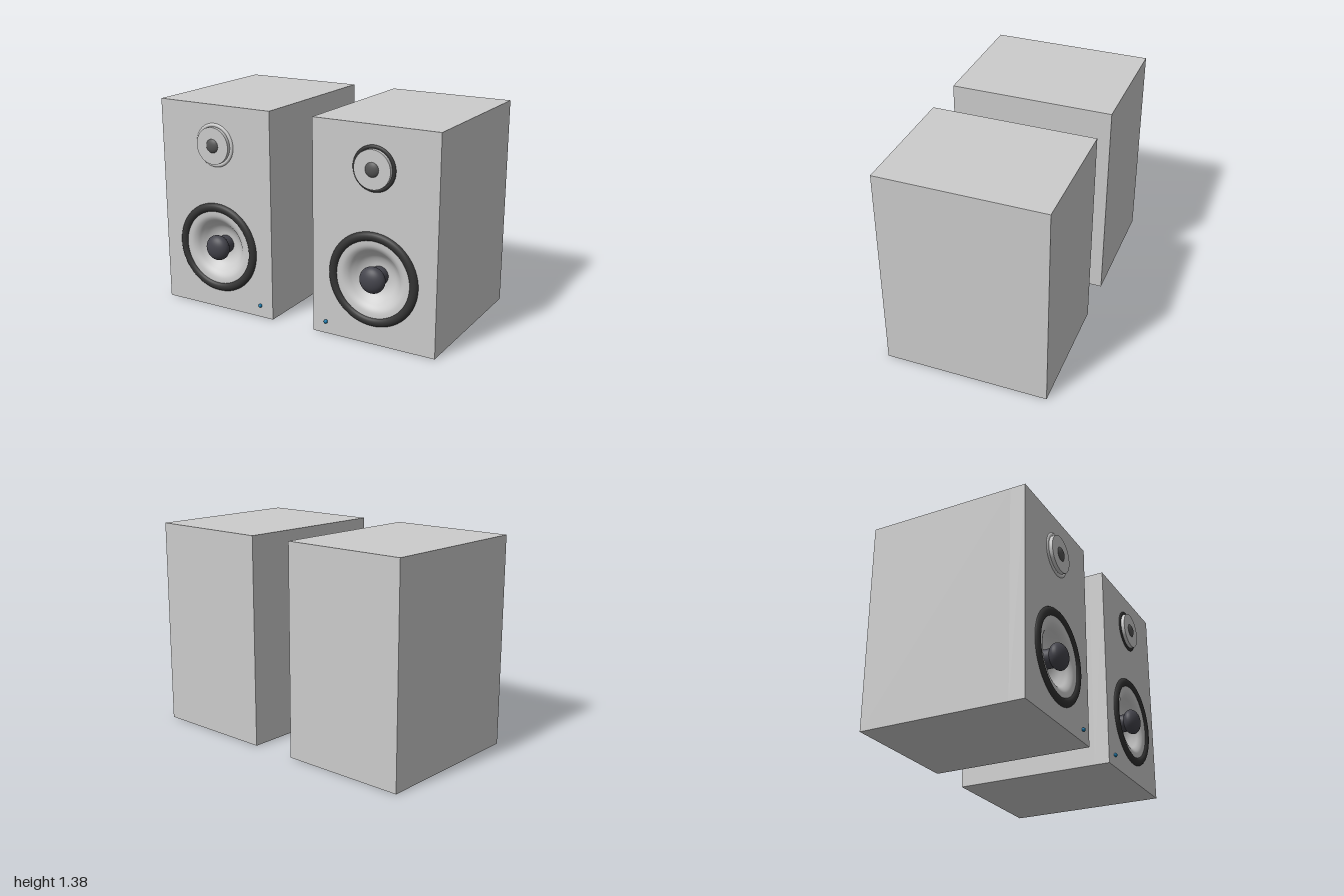
import * as THREE from 'three';

const WIDTH = 0.845, HEIGHT = 1.385, BACK = -0.57, FACE = 0.51, BAFFLE = 0.1;
const WOOFER_Y = 0.425, TWEETER_Y = 1.12;

const mat = (color, side = THREE.FrontSide) => new THREE.MeshStandardMaterial({ color, side });
const grey = mat(0xcccccc);
const coneGrey = mat(0xdddddd, THREE.DoubleSide);
const rubber = mat(0x333333);
const domeDark = mat(0x45454d);
const tweeterDark = mat(0x555555);
const blue = mat(0x1177aa);

function add(parent, name, geometry, material, x, y, z) {
  const mesh = new THREE.Mesh(geometry, material);
  mesh.name = name;
  mesh.position.set(x, y, z);
  parent.add(mesh);
  return mesh;
}

// Ellipsoid with its short axis along z
const dome = (r, depth) => new THREE.SphereGeometry(r, 32, 20).scale(1, 1, depth / r);

// Front panel with a round opening for the woofer
function baffleGeometry() {
  const w = WIDTH / 2;
  const shape = new THREE.Shape();
  shape.moveTo(-w, 0).lineTo(w, 0).lineTo(w, HEIGHT).lineTo(-w, HEIGHT).closePath();
  const hole = new THREE.Path();
  hole.absarc(0, WOOFER_Y, 0.255, 0, Math.PI * 2, true);
  shape.holes.push(hole);
  return new THREE.ExtrudeGeometry(shape, { depth: BAFFLE, bevelEnabled: false, curveSegments: 48 });
}

// Concave cone: gentle outer lip, then a steeper bowl
function coneGeometry() {
  const curve = new THREE.SplineCurve([
    [0.02, -0.092], [0.08, -0.088], [0.125, -0.07], [0.16, -0.04],
    [0.185, -0.014], [0.215, 0.002], [0.26, 0.006],
  ].map(([r, z]) => new THREE.Vector2(r, z)));
  return new THREE.LatheGeometry(curve.getPoints(24), 64).rotateX(Math.PI / 2);
}

function createSpeaker(side) {
  const speaker = new THREE.Group();
  speaker.name = side > 0 ? 'leftSpeaker' : 'rightSpeaker';

  // Cabinet
  const depth = FACE - BAFFLE - BACK;
  add(speaker, 'cabinet', new THREE.BoxGeometry(WIDTH, HEIGHT, depth), grey, 0, HEIGHT / 2, BACK + depth / 2);
  add(speaker, 'frontBaffle', baffleGeometry(), grey, 0, 0, FACE - BAFFLE);

  // Woofer
  const woofer = new THREE.Group();
  woofer.name = 'woofer';
  woofer.position.set(0, WOOFER_Y, FACE);
  add(woofer, 'wooferSurround', new THREE.TorusGeometry(0.275, 0.031, 20, 64), rubber, 0, 0, -0.01);
  add(woofer, 'wooferCone', coneGeometry(), coneGrey, 0, 0, 0);
  add(woofer, 'voiceCoil', new THREE.CylinderGeometry(0.06, 0.06, 0.09, 32).rotateX(Math.PI / 2), domeDark, 0, 0, -0.045);
  add(woofer, 'dustCap', dome(0.085, 0.055), domeDark, 0, 0, 0.005);
  speaker.add(woofer);

  // Tweeter
  const tweeter = new THREE.Group();
  tweeter.name = 'tweeter';
  tweeter.position.set(0, TWEETER_Y, FACE);
  add(tweeter, 'tweeterRing', new THREE.TorusGeometry(0.131, 0.014, 16, 64), side > 0 ? rubber : grey, 0, 0, -0.005);
  add(tweeter, 'tweeterPlate', new THREE.CylinderGeometry(0.122, 0.122, 0.04, 48).rotateX(Math.PI / 2), grey, 0, 0, 0.01);
  add(tweeter, 'tweeterDome', dome(0.052, 0.03), tweeterDark, 0, 0, 0.014 + 0.0);
  tweeter.children[2].position.z = 0.016;
  speaker.add(tweeter);

  // Power light, near the inner lower corner
  add(speaker, 'powerLight', new THREE.SphereGeometry(0.013, 16, 12), blue, -side * 0.328, 0.08, FACE + 0.006);

  speaker.position.x = side * (1 - WIDTH / 2);
  return speaker;
}

export function createModel() {
  const model = new THREE.Group();
  model.name = 'speakerPair';
  for (const side of [-1, 1]) model.add(createSpeaker(side));
  return model;
}
